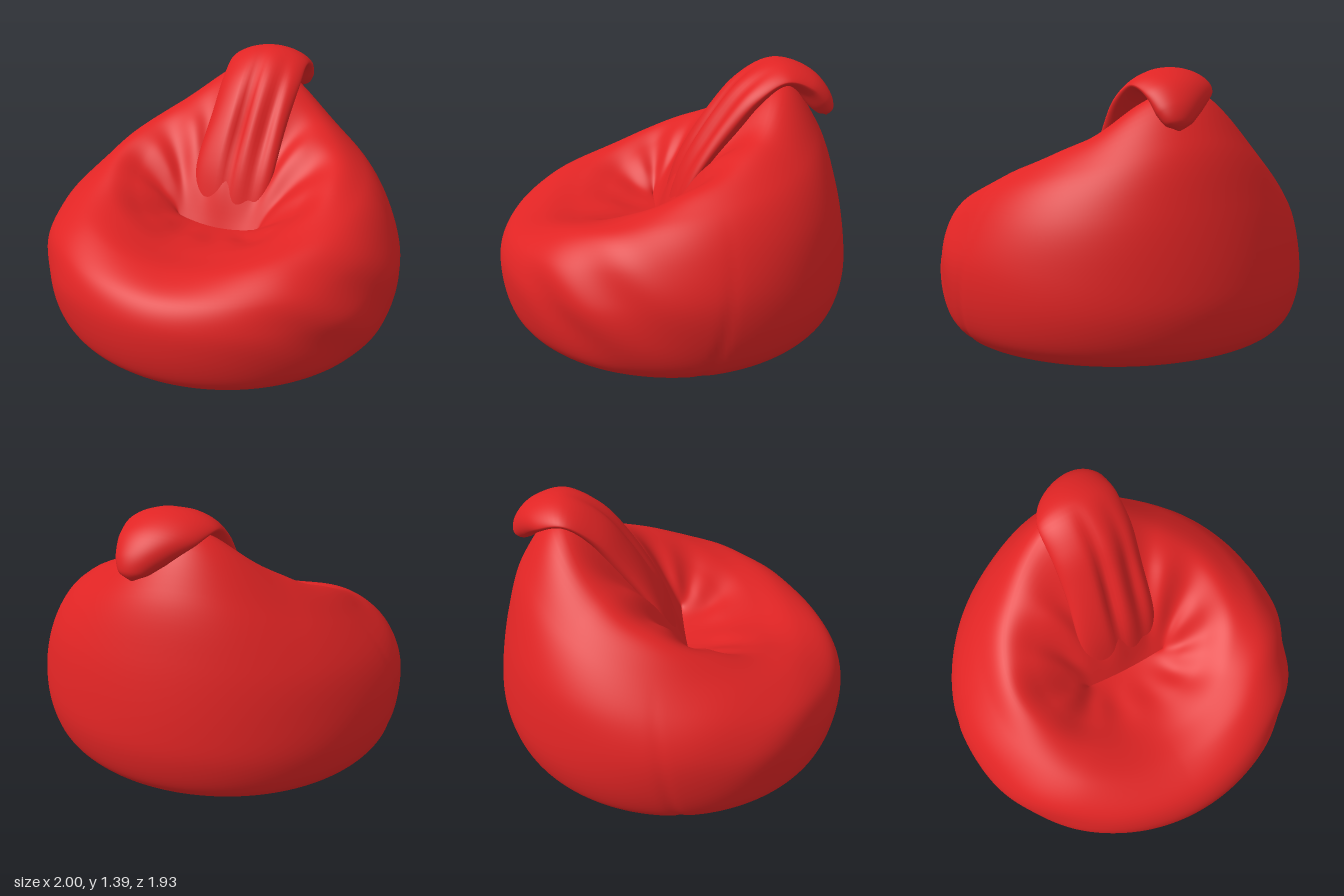
import * as THREE from 'three';

// Closed-around grid surface: f(v) -> (u) -> Vector3, u wraps, v runs 0..1
function loft(f, nu, nv) {
  const pos = [], idx = [];
  for (let j = 0; j <= nv; j++) {
    const row = f(j / nv);
    for (let i = 0; i < nu; i++) pos.push(...row(i / nu).toArray());
  }
  for (let j = 0; j < nv; j++) {
    for (let i = 0; i < nu; i++) {
      const a = j * nu + i, b = j * nu + (i + 1) % nu;
      idx.push(a, b, a + nu, b, b + nu, a + nu);
    }
  }
  const g = new THREE.BufferGeometry();
  g.setAttribute('position', new THREE.Float32BufferAttribute(pos, 3));
  g.setIndex(idx);
  g.computeVertexNormals();
  return g;
}

const bell = (x, c, w) => Math.exp(-(((x - c) / w) ** 2));
const hermite = (a, b, c, d, t) =>
  b + 0.5 * t * (c - a + t * (2 * a - 5 * b + 4 * c - d + t * (3 * (b - c) + d - a)));

// Sections [radius, height] from ground over the rim into the seat, every 45 degrees front to back
const foot = [[0.86, 0], [0.9, 0.02], [0.955, 0.09], [0.995, 0.25]];
const sections = [
  [[0.985, 0.4], [0.91, 0.5], [0.72, 0.56], [0.5, 0.555], [0.3, 0.545], [0.14, 0.52], [0, 0.5]],
  [[0.995, 0.4], [0.94, 0.54], [0.78, 0.65], [0.58, 0.66], [0.38, 0.6], [0.18, 0.54], [0, 0.5]],
  [[0.99, 0.45], [0.91, 0.62], [0.77, 0.76], [0.62, 0.84], [0.44, 0.77], [0.2, 0.63], [0, 0.5]],
  [[0.985, 0.45], [0.93, 0.68], [0.8, 0.89], [0.61, 1.03], [0.41, 0.96], [0.16, 0.72], [0, 0.5]],
  [[0.99, 0.42], [0.93, 0.75], [0.83, 1.05], [0.63, 1.29], [0.31, 1.02], [0.1, 0.75], [0, 0.5]],
].map((s) => [...foot, ...s]);

// Smooth profile at a given turn, mirrored left and right
function profileAt(turn) {
  const s = turn * 8, k = Math.floor(s), t = s - k;
  const col = (n) => { const m = (n + 16) % 8; return sections[m > 4 ? 8 - m : m]; };
  const points = sections[0].map((_, r) => {
    const mix = (c) => hermite(...[-1, 0, 1, 2].map((o) => col(k + o)[r][c]), t);
    return new THREE.Vector3(mix(0), mix(1), 0);
  });
  return new THREE.CatmullRomCurve3(points);
}

function bagGeometry() {
  const nu = 240;
  const profiles = Array.from({ length: nu }, (_, i) => profileAt(i / nu));
  return loft((v) => (u) => {
    const p = profiles[Math.round(u * nu)].getPoint(v);
    const a = u * Math.PI * 2, deg = u * 360;
    let r = p.x, y = p.y;
    // radial folds gathered around the seat, fading out at its bottom
    const inner = bell(v, 0.85, 0.1) * Math.min(1, r * 4);
    const rear = 0.5 - 0.5 * Math.cos(a);
    y += inner * (0.004 + 0.022 * rear) * Math.sin(11 * a + 0.6 + 3 * v);
    // the left shoulder is plumper than the right
    y += bell(v, 0.57, 0.09) * (0.01 + 0.025 * Math.sin(a)) * Math.abs(Math.sin(a));
    // slanting wrinkles on the front left, softer ones on the front right
    const skin = bell(v, 0.42, 0.17);
    r += skin * bell(deg, 60, 22) * 0.014 * Math.sin(deg * 0.2 + v * 24);
    r += skin * bell(deg, 300, 25) * 0.006 * Math.sin(deg * 0.16 - v * 20);
    // side seams
    const seam = bell(deg, 90 + 22 * v, 1.8) + bell(deg, 270 - 22 * v, 1.8);
    if (v < 0.6) r -= 0.011 * seam * Math.min(1, v * 8) * (1 - v / 0.6);
    // the seat bottom is a crosswise crease, raised at its ends
    const spread = 0.24 * Math.max(0, 1 - r) ** 3;
    y += 0.16 * spread * Math.sin(a) ** 2;
    return new THREE.Vector3((r + spread) * Math.sin(a), Math.max(0, y), 0.965 * r * Math.cos(a) + 0.08 * (1 - r));
  }, nu, 88);
}

// Folded top flap, rising out of the backrest: centre x, y, z, half width, half thickness
const flap = [
  [0.02, 0.5, 0.03, 0.21, 0.03],
  [0.03, 0.8, -0.09, 0.23, 0.06],
  [0.05, 1.06, -0.27, 0.225, 0.09],
  [0.06, 1.22, -0.41, 0.23, 0.095],
  [0.06, 1.305, -0.56, 0.225, 0.085],
  [0.09, 1.265, -0.69, 0.19, 0.08],
  [0.14, 1.185, -0.765, 0.125, 0.07],
  [0.165, 1.13, -0.8, 0.07, 0.045],
  [0.17, 1.1, -0.81, 0.004, 0.004],
];

function flapGeometry() {
  const path = new THREE.CatmullRomCurve3(flap.map((s) => new THREE.Vector3(s[0], s[1], s[2])));
  const size = new THREE.CatmullRomCurve3(flap.map((s) => new THREE.Vector3(s[3], s[4], 0)));
  const side = new THREE.Vector3(1, 0, 0);
  return loft((v) => {
    const c = path.getPoint(v), s = size.getPoint(v);
    const out = side.clone().cross(path.getTangent(v)).normalize();
    const crease = Math.max(0, 1 - v / 0.5) * Math.min(1, v * 5);
    const round = bell(v, 0.5, 0.2);
    return (u) => {
      const a = -u * Math.PI * 2, x = Math.cos(a);
      let h = s.y * Math.sin(a);
      if (h > 0) {
        // arched outer face with lengthwise creases
        h *= Math.sin(a) ** (0.5 * round);
        h *= 1 - crease * (0.8 * bell(x, -0.05, 0.16) + 0.8 * bell(x, 0.6, 0.18));
      } else {
        // flatter underside where it lies over the peak
        h *= 1 - 0.45 * round;
      }
      return c.clone().addScaledVector(side, s.x * x).addScaledVector(out, h);
    };
  }, 72, 60);
}

export function createModel() {
  const group = new THREE.Group();
  group.name = 'beanbagChair';
  const red = new THREE.MeshStandardMaterial({ color: 0xe02424 });
  red.name = 'red fabric';

  const add = (name, geometry) => {
    const mesh = new THREE.Mesh(geometry, red);
    mesh.name = name;
    group.add(mesh);
    return mesh;
  };
  add('bag', bagGeometry());
  add('topFlap', flapGeometry());

  // flat underside
  const base = add('base', new THREE.CircleGeometry(0.86, 240).rotateX(Math.PI / 2));
  base.scale.z = 0.965;
  base.position.z = 0.011;
  return group;
}
